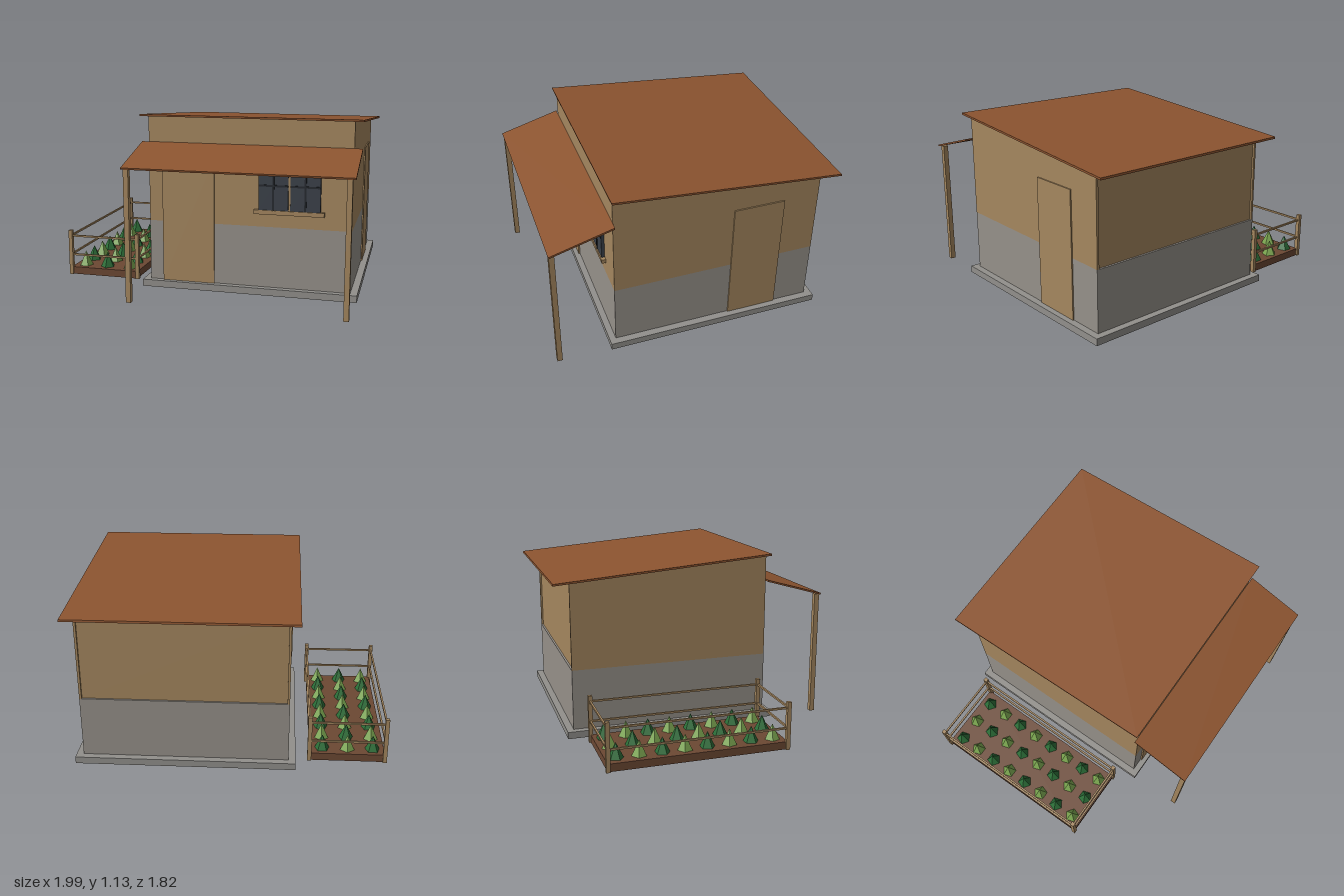
import * as THREE from 'three';

const mat = (name, color) => new THREE.MeshStandardMaterial({ name, color });

export function createModel() {
  const wood = mat('tan wood', 0xa5875f);
  const stone = mat('grey render', 0x96918a);
  const plinth = mat('concrete', 0x92908c);
  const roofing = mat('rust roofing', 0x8c5430);
  const soil = mat('soil', 0x6c4833);
  const lightLeaf = mat('light leaf', 0x7ba650);
  const darkLeaf = mat('dark leaf', 0x2c6e38);
  const glass = mat('dark glass', 0x3a4049);
  const bars = mat('window bars', 0x23272d);

  const model = new THREE.Group();
  model.name = 'gardenHouse';
  const group = (name) => {
    const g = new THREE.Group();
    g.name = name;
    model.add(g);
    return g;
  };
  const add = (parent, name, geometry, material) => {
    const m = new THREE.Mesh(geometry, material);
    m.name = name;
    parent.add(m);
    return m;
  };
  // Box given by its lower and upper limits on each axis
  const box = (parent, name, material, x0, x1, y0, y1, z0, z1) => {
    const m = add(parent, name, new THREE.BoxGeometry(x1 - x0, y1 - y0, z1 - z0), material);
    m.position.set((x0 + x1) / 2, (y0 + y1) / 2, (z0 + z1) / 2);
    return m;
  };
  // Side profile of [z, y] points, extruded from x0 to x1
  const profile = (parent, name, material, x0, x1, points) => {
    const shape = new THREE.Shape(points.map(([z, y]) => new THREE.Vector2(z, y)));
    const g = new THREE.ExtrudeGeometry(shape, { depth: x1 - x0, bevelEnabled: false });
    g.rotateY(-Math.PI / 2).translate(x1, 0, 0);
    return add(parent, name, g, material);
  };

  // House body: plinth, rendered lower wall, timber upper wall with a recessed back
  const house = group('house');
  const roofY = (z) => 1.12 + (z - 0.535) * 0.083;
  const upper = (zBack) => [[zBack, 0.44], [0.52, 0.44], [0.52, roofY(0.52)], [zBack, roofY(zBack)]];
  box(house, 'plinth', plinth, -0.415, 0.985, 0, 0.045, -0.845, 0.56);
  box(house, 'lowerWall', stone, -0.37, 0.94, 0.045, 0.44, -0.80, 0.52);
  profile(house, 'upperWall', wood, -0.355, 0.925, upper(-0.787));
  profile(house, 'rightSideWall', wood, -0.37, -0.355, upper(-0.80));
  profile(house, 'leftSideWall', wood, 0.925, 0.94, upper(-0.80));
  box(house, 'frontDoor', wood, -0.28, 0.065, 0.045, 0.86, 0.515, 0.53);
  box(house, 'sideDoor', wood, 0.935, 0.948, 0.045, 0.86, -0.57, -0.24);

  // Sloping main roof
  profile(house, 'roof', roofing, -0.425, 0.995,
    [[-0.91, roofY(-0.91)], [0.535, 1.12], [0.537, 1.133], [-0.908, roofY(-0.91) + 0.013]]);

  // Porch canopy on two posts
  const porch = group('porch');
  profile(porch, 'canopy', roofing, -0.415, 0.99,
    [[0.52, 0.945], [0.908, 0.835], [0.911, 0.846], [0.52, 0.957]]);
  for (const x of [-0.385, 0.955]) {
    box(porch, 'porchPost', wood, x - 0.016, x + 0.016, 0, 0.838, 0.872, 0.905);
  }

  // Window: two glazed sashes with bars, a centre post, sill and lintel
  const win = group('window');
  box(win, 'sill', wood, 0.325, 0.77, 0.525, 0.552, 0.515, 0.547);
  box(win, 'lintel', wood, 0.345, 0.755, 0.86, 0.88, 0.515, 0.537);
  box(win, 'centrePost', wood, 0.544, 0.556, 0.552, 0.86, 0.515, 0.535);
  for (const [x0, x1] of [[0.355, 0.543], [0.557, 0.745]]) {
    const c = (x0 + x1) / 2;
    box(win, 'pane', glass, x0, x1, 0.552, 0.86, 0.518, 0.54);
    box(win, 'uprightBar', bars, c - 0.006, c + 0.006, 0.552, 0.86, 0.535, 0.545);
    box(win, 'crossBar', bars, x0, x1, 0.702, 0.714, 0.535, 0.544);
  }

  // Vegetable bed with a post and rail fence
  const garden = group('garden');
  const xs = [-0.985, -0.503], zs = [-0.715, 0.423];
  box(garden, 'soilBed', soil, -0.985, -0.505, 0, 0.05, -0.717, 0.425);
  for (const x of xs) for (const z of zs) {
    box(garden, 'fencePost', wood, x - 0.013, x + 0.013, 0, 0.31, z - 0.013, z + 0.013);
  }
  for (const y of [0.14, 0.272]) {
    for (const x of xs) box(garden, 'sideRail', wood, x - 0.006, x + 0.006, y - 0.006, y + 0.006, zs[0], zs[1]);
    for (const z of zs) box(garden, 'endRail', wood, xs[0], xs[1], y - 0.006, y + 0.006, z - 0.006, z + 0.006);
  }

  // Five-sided plants in alternating greens
  const cone = new THREE.ConeGeometry(0.049, 0.1, 5).toNonIndexed();
  cone.computeVertexNormals();
  for (let row = 0; row < 8; row++) {
    for (let col = 0; col < 3; col++) {
      const dark = (row + col) % 2 === 0;
      const p = add(garden, 'plant', cone, dark ? darkLeaf : lightLeaf);
      p.position.set(-0.91 + col * 0.162, 0.1, -0.65 + row * 0.143);
      if (!dark) p.rotation.y = Math.PI;
    }
  }
  return model;
}
